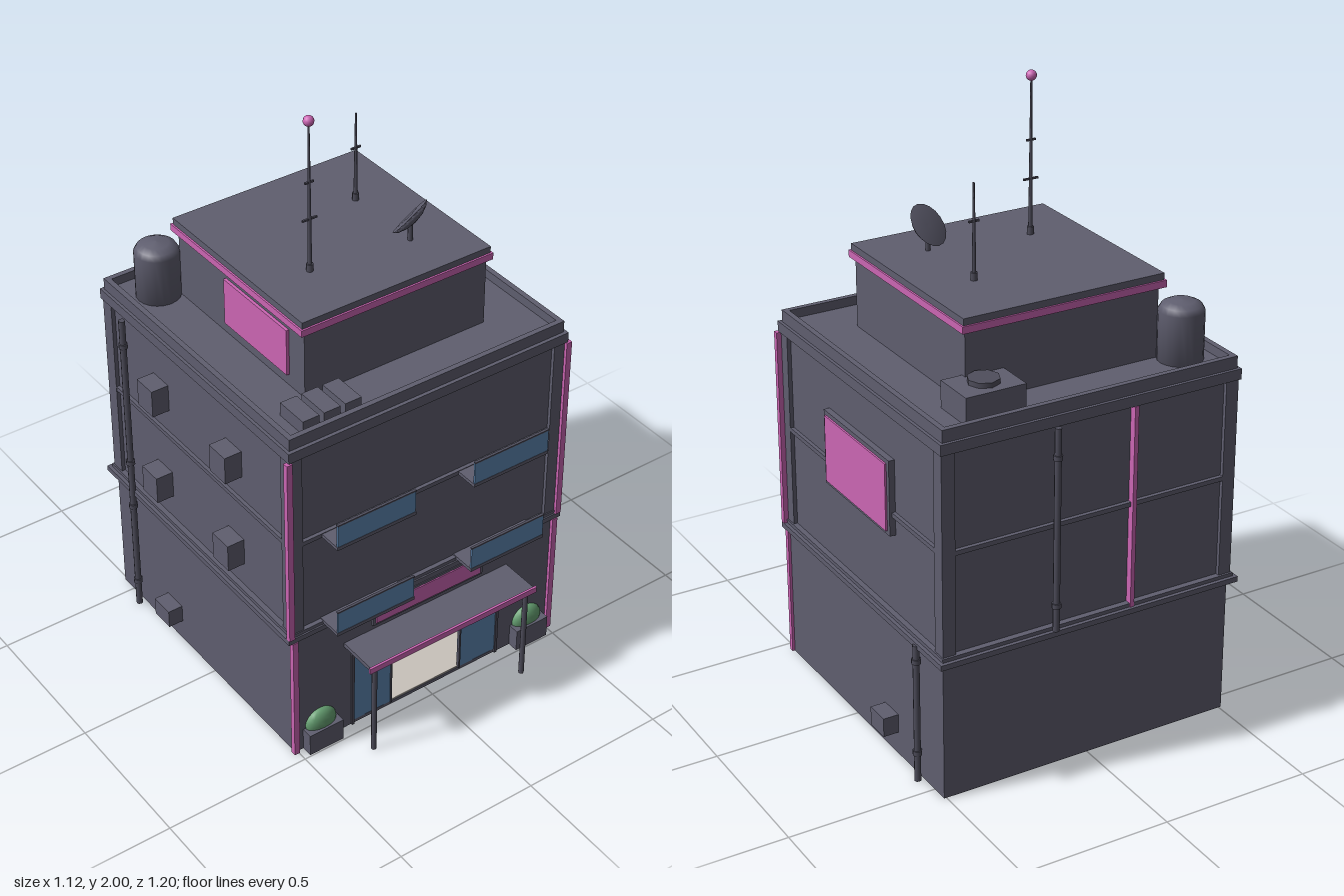
import * as THREE from 'three';

const mat = (name, color) => {
  const m = new THREE.MeshStandardMaterial({ color });
  m.name = name;
  return m;
};

export function createModel() {
  const root = new THREE.Group();
  root.name = 'building';
  const wall = mat('wall grey', 0x5f5e6f);
  const metal = mat('metal grey', 0x4f4e5c);
  const pink = mat('neon pink', 0xcc66b4);
  const glass = mat('glass blue', 0x5e87b2);
  const cream = mat('lobby cream', 0xc9c2ba);
  const green = mat('leaf green', 0x66a072);

  const add = (name, geo, m, x = 0, y = 0, z = 0) => {
    const mesh = new THREE.Mesh(geo, m);
    mesh.name = name;
    mesh.position.set(x, y, z);
    root.add(mesh);
    return mesh;
  };
  // Box from its low and high limits on each axis
  const box = (name, m, x0, x1, y0, y1, z0, z1) =>
    add(name, new THREE.BoxGeometry(x1 - x0, y1 - y0, z1 - z0), m,
      (x0 + x1) / 2, (y0 + y1) / 2, (z0 + z1) / 2);
  const rod = (name, m, r, x, y0, y1, z, r2 = r, n = 8) =>
    add(name, new THREE.CylinderGeometry(r2, r, y1 - y0, n), m, x, (y0 + y1) / 2, z);

  // Ground floor, hollowed for the lobby
  const F = 0.457, B = -0.558, W = 0.508;
  box('groundFloorBack', wall, -W, W, 0, 0.475, B, 0.1);
  box('groundFloorTop', wall, -W, W, 0.34, 0.475, 0.1, F);
  box('groundFloorBase', wall, -W, W, 0, 0.012, 0.1, F);
  for (const s of [-1, 1]) {
    const [a, b] = [s * 0.29, s * W].sort((p, q) => p - q);
    box('groundFloorSide', wall, a, b, 0.012, 0.34, 0.1, F);
    box('lobbySideWall', cream, s * 0.288 - 0.003, s * 0.288 + 0.003, 0.015, 0.338, 0.1, 0.44);
  }

  // Lobby interior and shopfront
  box('lobbyFloor', cream, -0.285, 0.285, 0.012, 0.017, 0.1, 0.455);
  box('lobbyBackWall', cream, -0.285, 0.285, 0.017, 0.34, 0.1, 0.106);
  box('lobbyBackPanel', pink, -0.16, 0.16, 0.207, 0.325, 0.106, 0.114);
  box('receptionDesk', cream, -0.14, 0.14, 0.017, 0.115, 0.15, 0.21);
  box('deskTop', wall, -0.145, 0.145, 0.115, 0.123, 0.145, 0.218);
  box('deskStripe', pink, -0.14, 0.14, 0.067, 0.108, 0.21, 0.216);
  box('deskFootStripe', pink, -0.11, 0.11, 0.017, 0.026, 0.21, 0.216);
  box('deskScreen', metal, -0.014, 0.014, 0.17, 0.2, 0.175, 0.183);
  rod('deskScreenStand', metal, 0.004, 0, 0.12, 0.172, 0.179);
  for (const s of [-1, 1]) {
    box('shopWindow', glass, s * 0.21 - 0.075, s * 0.21 + 0.075, 0.015, 0.33, 0.45, 0.459);
    box('windowMullion', metal, s * 0.288 - 0.005, s * 0.288 + 0.005, 0, 0.335, 0.45, 0.463);
    box('doorJamb', metal, s * 0.138 - 0.003, s * 0.138 + 0.003, 0.012, 0.335, 0.45, 0.462);
  }

  // Entrance sign and canopy
  box('signFrame', wall, -0.215, 0.215, 0.38, 0.462, 0.45, 0.465);
  box('signFace', pink, -0.204, 0.204, 0.389, 0.453, 0.464, 0.469);
  box('canopy', wall, -0.32, 0.32, 0.345, 0.36, 0.45, 0.597);
  box('canopyTrim', pink, -0.326, 0.326, 0.343, 0.364, 0.596, 0.604);
  for (const s of [-1, 1]) rod('canopyPost', metal, 0.009, s * 0.297, 0, 0.347, 0.585);

  // Planters
  for (const s of [-1, 1]) {
    box('planter', wall, s * 0.413 - 0.064, s * 0.413 + 0.064, 0, 0.08, 0.43, 0.495);
    const bush = add('bush', new THREE.SphereGeometry(1, 16, 10), green, s * 0.413, 0.09, 0.461);
    bush.scale.set(0.057, 0.05, 0.028);
  }

  // Upper storeys: recessed walls behind a projecting frame
  box('upperWalls', wall, -0.5, 0.5, 0.475, 1.2, -0.555, 0.445);
  box('floorLedge', wall, -0.53, 0.53, 0.465, 0.483, -0.587, 0.465);
  box('lowerBand', wall, -0.518, 0.518, 0.483, 0.495, -0.575, 0.46);
  box('middleBand', wall, -0.512, 0.512, 0.823, 0.838, -0.568, 0.457);
  box('upperBand', wall, -0.518, 0.518, 1.155, 1.19, -0.575, 0.462);
  for (const s of [-1, 1]) {
    const x = s * 0.491;
    box('frontCornerPier', wall, x - 0.022, x + 0.022, 0.483, 1.17, 0.41, 0.457);
    box('backCornerPier', wall, x - 0.022, x + 0.022, 0.483, 1.17, -0.568, -0.521);
    box('upperCornerStrip', pink, s * 0.519 - 0.01, s * 0.519 + 0.01, 0.483, 1.155, 0.45, 0.468);
    box('lowerCornerStrip', pink, s * 0.507 - 0.01, s * 0.507 + 0.01, 0, 0.465, 0.45, 0.468);
  }
  box('backStrip', pink, -0.149, -0.135, 0.483, 1.155, -0.578, -0.555);

  // Balconies
  for (const y of [0.83, 0.493]) for (const s of [-1, 1]) {
    const x = s * 0.255;
    box('balconyFloor', wall, x - 0.145, x + 0.145, y - 0.006, y + 0.006, 0.44, 0.535);
    box('balconyGlass', glass, x - 0.143, x + 0.143, y + 0.006, y + 0.084, 0.528, 0.534);
    box('balconyRail', metal, x - 0.144, x + 0.144, y + 0.084, y + 0.089, 0.527, 0.536);
  }

  // Side billboard
  box('billboardFrame', wall, 0.495, 0.52, 0.76, 1.01, -0.265, 0.152);
  box('billboardFace', pink, 0.519, 0.526, 0.773, 0.996, -0.25, 0.138);

  // Air conditioners on the side walls
  const aircon = (s, y, z, h) => {
    const x = s * 0.527;
    box('airConditioner', wall, x - 0.033, x + 0.033, y - h, y + h, z - 0.042, z + 0.042);
  };
  for (const y of [0.97, 0.63]) for (const z of [-0.262, 0.143]) aircon(-1, y, z, 0.048);
  for (const s of [-1, 1]) aircon(s, 0.11, -0.232, 0.032);

  // Drain pipes with collars
  const pipe = (x, z, y0, y1, collars) => {
    rod('drainPipe', metal, 0.011, x, y0, y1, z);
    for (const y of collars) rod('pipeCollar', metal, 0.015, x, y - 0.008, y + 0.008, z);
  };
  pipe(0.528, -0.43, 0, 0.475, [0.1, 0.42]);
  pipe(-0.53, -0.43, 0, 1.155, [0.1, 0.42, 0.6, 1.06]);
  pipe(0.133, -0.582, 0.483, 1.155, [0.57, 1.06]);

  // Parapet around the roof deck
  const rim = new THREE.Shape([[-W, -0.45], [W, -0.45], [W, 0.565], [-W, 0.565]]
    .map(p => new THREE.Vector2(...p)));
  rim.holes.push(new THREE.Path([[-0.49, -0.432], [-0.49, 0.547], [0.49, 0.547], [0.49, -0.432]]
    .map(p => new THREE.Vector2(...p))));
  const rimGeo = new THREE.ExtrudeGeometry(rim, { depth: 0.04, bevelEnabled: false });
  rimGeo.rotateX(-Math.PI / 2);
  add('parapet', rimGeo, wall, 0, 1.19, 0);

  // Penthouse
  box('penthouse', wall, -0.333, 0.333, 1.195, 1.435, -0.392, 0.278);
  box('penthouseTrim', pink, -0.35, 0.35, 1.43, 1.453, -0.41, 0.29);
  box('penthouseRoof', wall, -0.344, 0.344, 1.45, 1.475, -0.404, 0.284);
  box('penthouseSign', pink, -0.343, -0.33, 1.24, 1.4, -0.13, 0.2);

  // Roof vents, cooling unit and water tank
  for (const x of [-0.41, -0.335, -0.26])
    box('roofVent', wall, x - 0.029, x + 0.029, 1.195, 1.246, 0.305, 0.42);
  box('coolingUnit', wall, 0.203, 0.404, 1.195, 1.287, -0.52, -0.375);
  rod('coolingFan', metal, 0.05, 0.303, 1.287, 1.303, -0.447);
  const tank = [[0, 0], [0.072, 0], [0.072, 0.165], [0.062, 0.182], [0.04, 0.193], [0, 0.198]];
  add('waterTank', new THREE.LatheGeometry(tank.map(p => new THREE.Vector2(...p)), 20),
    wall, -0.39, 1.195, -0.433);

  // Antennas
  const antenna = (x, z, top, bars) => {
    rod('antennaBase', metal, 0.011, x, 1.475, 1.5, z);
    rod('antennaMast', metal, 0.007, x, 1.475, top, z, 0.003);
    for (const [y, w] of bars) box('antennaBar', metal, x - w, x + w, y - 0.003, y + 0.003, z - 0.003, z + 0.003);
  };
  antenna(-0.17, 0.075, 1.98, [[1.655, 0.026], [1.78, 0.016]]);
  antenna(0.17, -0.165, 1.78, [[1.66, 0.018]]);
  add('antennaBeacon', new THREE.SphereGeometry(0.017, 14, 10), pink, -0.17, 1.983, 0.075);

  // Satellite dish, tilted up and to the back
  const bowl = [[0, -0.022], [0.035, -0.017], [0.06, -0.007], [0.072, 0.004], [0, 0.003]];
  const dish = add('satelliteDish', new THREE.LatheGeometry(bowl.map(p => new THREE.Vector2(...p)), 18),
    wall, 0.17, 1.555, 0.114);
  dish.quaternion.setFromUnitVectors(new THREE.Vector3(0, 1, 0),
    new THREE.Vector3(-0.38, 0.63, -0.68).normalize());
  rod('dishPost', metal, 0.008, 0.17, 1.475, 1.545, 0.114);

  return root;
}
